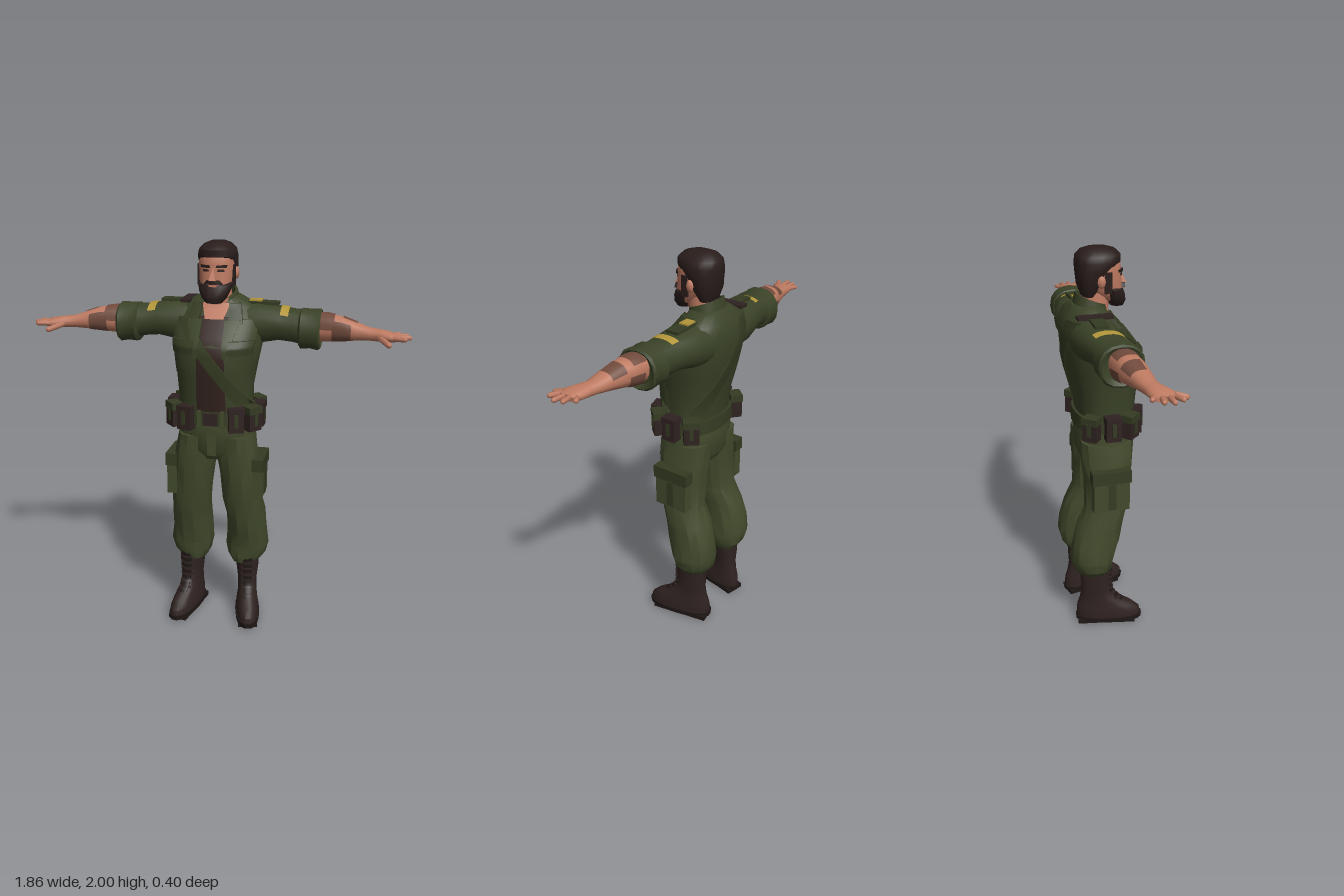
import * as THREE from 'three';
import { toCreasedNormals } from 'three/addons/utils/BufferGeometryUtils.js';

const mat = (name, color) => Object.assign(new THREE.MeshStandardMaterial({ color }), { name });

// Keeps sharp edges; scaled up first so that fine details are not merged
function crease(geo, angle = 0.6) {
  const g = toCreasedNormals(geo.clone().scale(100, 100, 100), angle);
  return g.scale(0.01, 0.01, 0.01);
}

// Skin of superellipse rings [y, cx, cz, rx, rz], bottom to top; a0..a1 gives an open arc
function loft(rings, { n = 14, p = 2.3, a0 = 0, a1 = Math.PI * 2, fold = 0 } = {}) {
  const pos = [], idx = [], w = n + 1, full = a1 - a0 > 6.28;
  const pw = v => Math.sign(v) * Math.abs(v) ** (2 / p);
  rings.forEach(([y, cx, cz, rx, rz]) => {
    for (let j = 0; j <= n; j++) {
      const a = full && j === n ? a0 : a0 + (a1 - a0) * j / n;
      const f = 1 + fold * Math.sin(3 * a + y * 23);
      pos.push(cx + rx * f * pw(Math.cos(a)), y, cz - rz * f * pw(Math.sin(a)));
    }
  });
  for (let i = 0; i < rings.length - 1; i++) for (let j = 0; j < n; j++) {
    const a = i * w + j, b = a + 1, c = b + w, d = a + w;
    idx.push(a, b, c, a, c, d);
  }
  if (full) [0, rings.length - 1].forEach((r, top) => {
    const c = pos.length / 3;
    pos.push(rings[r][1], rings[r][0], rings[r][2]);
    for (let j = 0; j < n; j++) top ? idx.push(c, r * w + j, r * w + j + 1) : idx.push(c, j + 1, j);
  });
  const g = new THREE.BufferGeometry();
  g.setAttribute('position', new THREE.Float32BufferAttribute(pos, 3));
  g.setIndex(idx);
  return g;
}

// Ring of a loft at height t
function sample(rings, t) {
  let i = 0;
  while (i < rings.length - 2 && rings[i + 1][0] < t) i++;
  const k = THREE.MathUtils.clamp((t - rings[i][0]) / (rings[i + 1][0] - rings[i][0]), 0, 1);
  return rings[i].map((v, c) => c ? v + (rings[i + 1][c] - v) * k : t);
}

// Four-sided plate hugging the front (side 1) or back (side -1) of a loft; edges are [y, xa, xb]
function plate(rings, [y0, a0, b0], [y1, a1, b1], t, side = 1, p = 2.3) {
  const g = new THREE.BoxGeometry(1, 1, t, 8, 10, 1), q = g.attributes.position;
  for (let i = 0; i < q.count; i++) {
    const u = q.getX(i) + 0.5, v = q.getY(i) + 0.5, y = y0 + (y1 - y0) * v;
    const a = a0 + (a1 - a0) * v, x = a + (b0 + (b1 - b0) * v - a) * u;
    const [, cx, cz, rx, rz] = sample(rings, y);
    const e = Math.min(Math.abs(x - cx) / rx, 0.97);
    q.setXYZ(i, x, y, cz + side * rz * (1 - e ** p) ** (1 / p) + q.getZ(i));
  }
  return g;
}

// Arms: rings [x, y, z, ry, rz] lofted outwards
const armRings = r => r.map(([x, y, z, ry, rz]) => [x, -y, z, ry, rz]);
const arm = (r, o) => loft(armRings(r), o).rotateZ(-Math.PI / 2);
const armPatch = (r, x0, x1, a0, a1) => arm([0, 0.25, 0.5, 0.75, 1].map(k => {
  const s = sample(r, x0 + (x1 - x0) * k);
  return [s[0], s[1], s[2], s[3] + 0.004, s[4] + 0.004];
}), { a0, a1, n: 8 });

const box = (w, h, d, x, y, z, ry = 0, rx = 0) =>
  new THREE.BoxGeometry(w, h, d).rotateX(rx).rotateY(ry).translate(x, y, z);

function rod(a, b, r) {
  const A = new THREE.Vector3(...a), d = new THREE.Vector3(...b).sub(A), l = d.length();
  return new THREE.CapsuleGeometry(r, l, 3, 7).translate(0, l / 2, 0)
    .applyQuaternion(new THREE.Quaternion().setFromUnitVectors(new THREE.Vector3(0, 1, 0), d.normalize()))
    .translate(...a);
}

function mirror(geo) {
  const g = (geo.index ? geo.toNonIndexed() : geo.clone()).scale(-1, 1, 1), p = g.attributes.position;
  for (let i = 0; i < p.count; i += 3) {
    const b = [p.getX(i + 1), p.getY(i + 1), p.getZ(i + 1)];
    p.setXYZ(i + 1, p.getX(i + 2), p.getY(i + 2), p.getZ(i + 2));
    p.setXYZ(i + 2, ...b);
  }
  return g;
}

export function createModel() {
  const shirt = mat('shirt olive', 0x3a4227), trouser = mat('trouser olive', 0x424a2c);
  const webbing = mat('webbing olive', 0x343b22), skin = mat('skin', 0xbd7a61);
  const ink = mat('tattoo', 0x704a3c), hair = mat('hair', 0x291d1b), vest = mat('undershirt', 0x33231f);
  const leather = mat('leather', 0x2f2321), sole = mat('sole', 0x1f1816), gold = mat('gold', 0xb3963a);
  const model = new THREE.Group();
  model.name = 'soldier';
  const add = (name, geo, m, angle) => {
    const mesh = new THREE.Mesh(crease(geo, angle), m);
    mesh.name = name;
    model.add(mesh);
  };
  const both = (name, geo, m, angle) => {
    add(name + 'Left', geo, m, angle);
    add(name + 'Right', mirror(geo), m, angle);
  };

  // Torso and open jacket
  const torso = [[1.17, 0, 0.02, 0.185, 0.135], [1.3, 0, 0.018, 0.185, 0.15], [1.42, 0, 0.008, 0.205, 0.172],
    [1.52, 0, -0.004, 0.225, 0.18], [1.62, 0, -0.045, 0.225, 0.147], [1.69, 0, -0.066, 0.19, 0.108], [1.74, 0, -0.06, 0.1, 0.075]];
  add('jacket', loft(torso, { n: 24 }), shirt, 0.9);
  add('undershirt', plate(torso, [1.18, -0.1, 0.1], [1.65, -0.08, 0.08], 0.008), vest);
  add('chestSkin', plate(torso, [1.64, -0.045, 0.045], [1.71, -0.07, 0.07], 0.014), skin);
  both('jacketFront', plate(torso, [1.18, 0.075, 0.175], [1.64, 0.065, 0.21], 0.026), shirt);
  both('lapel', plate(torso, [1.47, 0.06, 0.075], [1.64, 0.055, 0.13], 0.04), shirt);
  both('collarPoint', plate(torso, [1.62, 0.075, 0.14], [1.71, 0.065, 0.12], 0.036), webbing);
  both('chestPocket', plate(torso, [1.38, 0.09, 0.185], [1.54, 0.09, 0.195], 0.046), shirt);
  both('pocketFlap', plate(torso, [1.485, 0.085, 0.195], [1.55, 0.085, 0.2], 0.06), webbing);
  add('strapFront', plate(torso, [1.23, 0.125, 0.2], [1.64, -0.19, -0.12], 0.036), webbing);
  add('strapBack', plate(torso, [1.23, 0.11, 0.18], [1.69, -0.17, -0.09], 0.02, -1), webbing);
  add('strapShoulder', box(0.05, 0.015, 0.17, -0.16, 1.712, -0.06), leather);
  const collar = loft([[1.66, 0, -0.045, 0.11, 0.09], [1.765, 0, -0.04, 0.088, 0.072],
    [1.765, 0, -0.04, 0.078, 0.062], [1.67, 0, -0.04, 0.085, 0.07]], { a0: -0.3 * Math.PI, a1: 1.3 * Math.PI, n: 16 });
  const cp = collar.attributes.position;
  for (let i = 0; i < cp.count; i++) cp.setY(i, cp.getY(i) - (cp.getZ(i) + 0.05) * 0.4);
  add('collar', collar, shirt);

  // Sleeves, rolled cuffs, epaulettes and badges
  const sleeve = [[0.1, 1.6, -0.065, 0.1, 0.11], [0.2, 1.607, -0.06, 0.1, 0.115],
    [0.3, 1.61, -0.05, 0.082, 0.1], [0.37, 1.603, -0.04, 0.08, 0.092], [0.44, 1.595, -0.032, 0.086, 0.095]];
  both('sleeve', arm(sleeve, { n: 16 }), shirt, 0.8);
  both('cuff', arm([[0.4, 1.592, -0.03, 0.082, 0.09], [0.41, 1.592, -0.03, 0.097, 0.106], [0.455, 1.592, -0.03, 0.094, 0.102],
    [0.495, 1.59, -0.027, 0.099, 0.106], [0.505, 1.59, -0.027, 0.09, 0.096], [0.49, 1.59, -0.027, 0.07, 0.07]], { n: 16 }), shirt);
  both('epaulette', box(0.15, 0.014, 0.065, 0.185, 1.709, -0.06).rotateZ(-0.02), webbing);
  add('shoulderBadge', box(0.06, 0.008, 0.05, 0.18, 1.716, -0.06), gold);
  both('sleeveBadge', armPatch(sleeve, 0.31, 0.35, 0.8 * Math.PI, 1.3 * Math.PI), gold);

  // Bare forearms and hands
  const forearm = [[0.44, 1.6, -0.027, 0.066, 0.062], [0.53, 1.602, -0.022, 0.069, 0.066], [0.6, 1.602, -0.01, 0.06, 0.062],
    [0.67, 1.595, 0.003, 0.044, 0.053], [0.74, 1.587, 0.015, 0.03, 0.042], [0.78, 1.586, 0.026, 0.028, 0.045],
    [0.83, 1.584, 0.042, 0.024, 0.056], [0.865, 1.58, 0.048, 0.014, 0.05]];
  both('forearm', arm(forearm), skin, 1);
  [[0.5, 0.57, 0.7, 1.5], [0.56, 0.65, 1.3, 1.8], [0.61, 0.68, 0.6, 1.1], [0.52, 0.6, 0, 0.5]].forEach(([x0, x1, a, b], i) =>
    both('tattoo' + i, armPatch(forearm, x0, x1, a * Math.PI, b * Math.PI), ink, 1));
  [[0.005, 0.872, -0.015], [0.032, 0.908, 0.022], [0.06, 0.92, 0.062], [0.083, 0.9, 0.105]].forEach(([z, x, tz], i) =>
    both('finger' + i, rod([0.84, 1.584, z], [x, 1.586, tz], 0.012), skin, 1));
  both('thumb', rod([0.78, 1.58, 0.05], [0.83, 1.565, 0.143], 0.014), skin, 1);

  // Neck, head and face
  add('neck', loft([[1.6, 0, -0.04, 0.085, 0.08], [1.7, 0, -0.025, 0.068, 0.068], [1.82, 0, -0.01, 0.06, 0.065]]), skin, 1);
  const head = [[1.73, 0, 0.075, 0.04, 0.035], [1.76, 0, 0.058, 0.062, 0.058], [1.8, 0, 0.03, 0.078, 0.083],
    [1.85, 0, 0.01, 0.084, 0.098], [1.9, 0, 0.002, 0.087, 0.104], [1.95, 0, 0, 0.084, 0.1], [1.98, 0, 0, 0.06, 0.075]];
  add('head', loft(head, { n: 18 }), skin, 0.9);
  add('hair', loft([[1.775, 0, -0.055, 0.062, 0.03], [1.83, 0, -0.046, 0.086, 0.06], [1.9, 0, -0.024, 0.095, 0.09],
    [1.935, 0, -0.006, 0.095, 0.11], [1.965, 0, -0.004, 0.088, 0.108], [1.988, 0, -0.006, 0.066, 0.085], [2, 0, -0.01, 0.035, 0.05]], { n: 18 }), hair, 0.7);
  add('beard', loft([[1.72, 0, 0.088, 0.038, 0.034], [1.745, 0, 0.078, 0.062, 0.052], [1.78, 0, 0.066, 0.077, 0.058],
    [1.805, 0, 0.054, 0.083, 0.059], [1.815, 0, 0.04, 0.083, 0.05]], { n: 16 }), hair);
  both('sideburn', box(0.012, 0.1, 0.035, 0.084, 1.845, 0.025), hair);
  add('moustache', plate(head, [1.81, -0.046, 0.046], [1.828, -0.03, 0.03], 0.03), hair);
  add('lips', box(0.038, 0.012, 0.008, 0, 1.804, 0.117), skin);
  add('nose', new THREE.ConeGeometry(0.024, 0.065, 4, 1).rotateY(Math.PI / 4).rotateX(-0.2).translate(0, 1.857, 0.11), skin, 0.4);
  both('eye', plate(head, [1.868, 0.02, 0.052], [1.878, 0.022, 0.05], 0.008), vest);
  both('eyebrow', plate(head, [1.886, 0.014, 0.06], [1.898, 0.018, 0.064], 0.018), hair);
  both('ear', new THREE.SphereGeometry(1, 8, 6).scale(0.014, 0.03, 0.02).translate(0.09, 1.852, -0.008), skin, 1);

  // Trousers
  add('trouserSeat', loft([[0.93, 0, 0.01, 0.13, 0.1], [0.98, 0, 0.012, 0.2, 0.133], [1.1, 0, 0.017, 0.192, 0.143],
    [1.18, 0, 0.02, 0.185, 0.138]], { n: 18 }), trouser, 0.8);
  add('fly', box(0.045, 0.15, 0.012, 0, 1.04, 0.15), trouser);
  both('trouserLeg', loft([[0.31, 0.14, -0.062, 0.072, 0.085], [0.35, 0.146, -0.07, 0.1, 0.105], [0.41, 0.15, -0.075, 0.114, 0.112],
    [0.5, 0.148, -0.058, 0.104, 0.122], [0.6, 0.146, -0.034, 0.102, 0.12], [0.7, 0.134, 0.002, 0.102, 0.107],
    [0.85, 0.12, 0.012, 0.105, 0.12], [0.97, 0.106, 0.014, 0.104, 0.132], [1.06, 0.095, 0.014, 0.1, 0.135]], { fold: 0.03 }), trouser, 0.45);
  both('cargoPocket', box(0.05, 0.21, 0.185, 0.222, 0.825, 0.005), trouser);
  both('cargoFlap', box(0.058, 0.065, 0.2, 0.224, 0.907, 0.005), webbing);
  both('cargoPleat', box(0.012, 0.14, 0.04, 0.247, 0.8, 0.005), webbing);

  // Belt, buckle and pouches
  add('belt', loft([[1.125, 0, 0.018, 0.203, 0.153], [1.195, 0, 0.018, 0.199, 0.15]], { n: 22 }), webbing);
  add('buckle', box(0.07, 0.06, 0.018, 0, 1.16, 0.172), leather);
  both('beltLoop', box(0.018, 0.085, 0.02, 0.058, 1.16, 0.168), trouser);
  [[0.125, 0.16, 0.3], [0.198, 0.11, 0.85], [0.216, 0.015, 1.57], [0.19, -0.085, 2.3]].forEach(([x, z, ry], i) => {
    both('pouch' + i, box(0.075, 0.115, 0.055, x, 1.16, z, ry), leather);
    both('pouchLid' + i, box(0.08, 0.035, 0.062, x, 1.207, z, ry), i % 2 ? webbing : leather);
    both('pouchTab' + i, box(0.02, 0.07, 0.066, x, 1.165, z, ry), webbing);
  });

  // Laced boots, toes turned out
  const place = g => g.rotateY(0.2).translate(0.165, 0, 0.002);
  const boot = [[0.025, 0, 0.01, 0.06, 0.172], [0.065, 0, 0.007, 0.061, 0.172], [0.1, 0, -0.01, 0.055, 0.15],
    [0.14, 0, -0.042, 0.05, 0.105], [0.19, 0, -0.058, 0.05, 0.08], [0.27, 0, -0.062, 0.06, 0.08], [0.36, 0, -0.062, 0.064, 0.082]];
  both('boot', place(loft(boot, { n: 18 })), leather, 0.8);
  both('bootSole', place(loft([[0.012, 0, 0.01, 0.064, 0.178], [0.036, 0, 0.01, 0.066, 0.18]], { n: 18 })), sole);
  both('bootHeel', place(box(0.1, 0.024, 0.1, 0, 0.012, -0.105)), sole);
  both('bootTread', place(box(0.1, 0.02, 0.17, 0, 0.01, 0.065)), sole);
  both('bootTongue', place(plate(boot, [0.13, -0.022, 0.022], [0.35, -0.026, 0.026], 0.012)), sole);
  for (let i = 0; i < 6; i++) {
    const y = 0.14 + i * 0.034;
    both('lace' + i, place(plate(boot, [y, -0.032, 0.032], [y + 0.01, -0.032, 0.032], 0.024)), leather);
  }
  return model;
}
